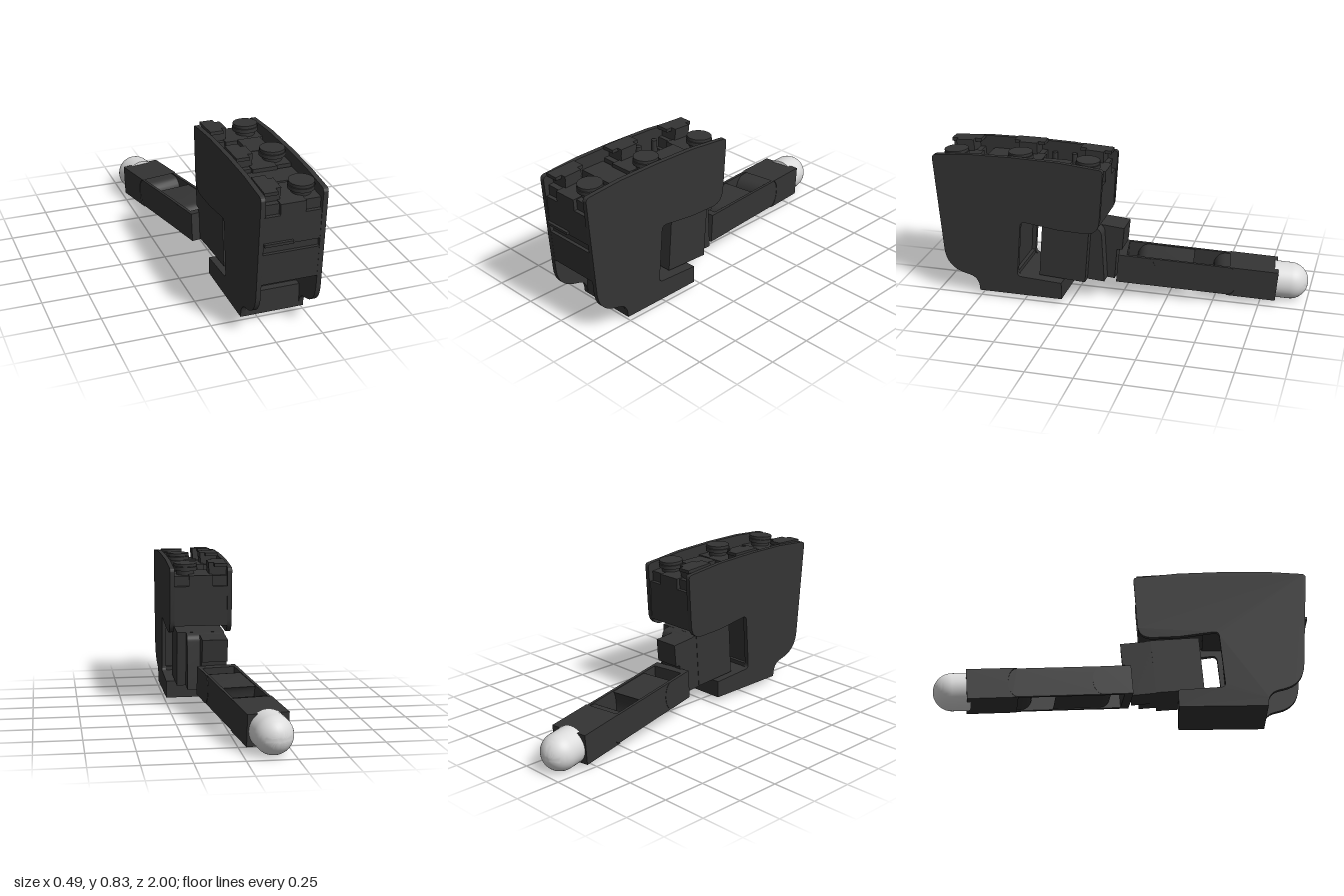
import * as THREE from 'three';
import { toCreasedNormals } from 'three/addons/utils/BufferGeometryUtils.js';

const dark = new THREE.MeshStandardMaterial({ color: 0x343434 });
dark.name = 'dark plastic';
const pale = new THREE.MeshStandardMaterial({ color: 0xdcdcdc });
pale.name = 'pale rubber';

function add(parent, name, geometry, x = 0, y = 0, z = 0, material = dark) {
  const mesh = new THREE.Mesh(geometry, material);
  mesh.name = name;
  mesh.position.set(x, y, z);
  parent.add(mesh);
  return mesh;
}

// Box given by its limits on each axis
function box(parent, name, x0, x1, y0, y1, z0, z1) {
  return add(parent, name, new THREE.BoxGeometry(x1 - x0, y1 - y0, z1 - z0),
    (x0 + x1) / 2, (y0 + y1) / 2, (z0 + z1) / 2);
}

// Side outline of [z, y, cornerRadius] extruded from x0 to x1
function slab(parent, name, points, x0, x1) {
  const shape = new THREE.Shape();
  const n = points.length;
  points.forEach(([z, y, r = 0], i) => {
    const p = new THREE.Vector2(z, y);
    const toward = (q) => p.clone().add(new THREE.Vector2(q[0], q[1]).sub(p).setLength(r));
    const a = toward(points[(i + n - 1) % n]);
    const b = toward(points[(i + 1) % n]);
    if (i === 0) shape.moveTo(a.x, a.y);
    else shape.lineTo(a.x, a.y);
    if (r > 0) shape.quadraticCurveTo(z, y, b.x, b.y);
  });
  shape.closePath();
  const geometry = new THREE.ExtrudeGeometry(shape, { depth: x1 - x0, bevelEnabled: false, curveSegments: 8 });
  geometry.rotateY(-Math.PI / 2);
  return add(parent, name, toCreasedNormals(geometry, 0.5), x1);
}

// Outline of a finger link, with bulging (or hollow, if negative) ends
function linkOutline(z0, z1, h, bulge0, bulge1) {
  const points = [];
  const arc = (z, bulge, side) => {
    const steps = bulge ? 10 : 1;
    for (let i = 0; i <= steps; i++) {
      const t = -Math.PI / 2 + Math.PI * i / steps;
      points.push([z + side * bulge * (Math.cos(t) - 1), side * h * Math.sin(t)]);
    }
  };
  arc(z0, bulge0, 1);
  arc(z1, bulge1, -1);
  return points;
}

// Upright motor with a disc horn and a connector cap on top
function motor(parent, z, y, length, tilt) {
  const g = new THREE.Group();
  g.name = 'motor';
  g.position.set(0, y, z);
  g.rotation.x = tilt;
  parent.add(g);
  const h = length / 2;
  box(g, 'motorBody', -0.07, 0.222, -0.22, -0.06, -h, h);
  box(g, 'motorNeck', 0.01, 0.14, -0.06, 0, -h, h);
  box(g, 'motorShoulder', -0.07, 0.222, -0.06, -0.005, -h + 0.02, h - 0.02);
  box(g, 'motorFoot', -0.07, 0.222, -0.28, -0.22, -h, h - 0.02);
  box(g, 'motorLip', -0.07, 0.08, -0.215, -0.2, h, h + 0.015);
  add(g, 'hornNeck', new THREE.CylinderGeometry(0.05, 0.05, 0.04, 32), 0.152, 0.01, 0);
  add(g, 'hornDisc', new THREE.CylinderGeometry(0.067, 0.067, 0.02, 32), 0.152, 0.03, 0);
  add(g, 'hornCap', new THREE.CylinderGeometry(0.064, 0.064, 0.016, 32), 0.152, 0.05, 0);
  box(g, 'connectorBase', -0.07, 0.025, -0.005, 0.045, -0.05, 0.05);
  box(g, 'connectorCap', -0.07, 0.0, 0.045, 0.063, -0.085, 0.085);
  box(g, 'connectorTongue', 0.0, 0.028, 0.03, 0.063, -0.05, 0.05);
}

function buildHousing(root) {
  const g = new THREE.Group();
  g.name = 'housing';
  root.add(g);

  // C-shaped side plates
  const outline = [
    [1.0, 0.805, 0.025], [0.78, 0.823], [0.55, 0.826], [0.3, 0.82], [0.053, 0.797, 0.02],
    [0.08, 0.43, 0.08], [0.3, 0.437], [0.513, 0.465, 0.03], [0.54, 0.14, 0.025],
    [0.29, 0.125], [0.29, 0.03], [0.76, 0.03], [0.765, 0.105, 0.055], [0.95, 0.15, 0.11],
  ];
  slab(g, 'leftPlate', outline, 0.222, 0.247);
  slab(g, 'rightPlate', outline, -0.095, -0.07);

  // Foot, inner frame and front cross panel between the plates
  slab(g, 'foot', [[0.29, 0.03], [0.76, 0.03], [0.76, 0.162], [0.54, 0.162], [0.54, 0.14], [0.29, 0.125]], -0.07, 0.222);
  slab(g, 'innerFrame', [[0.56, 0.16], [0.72, 0.16], [0.745, 0.25, 0.04], [0.755, 0.5], [0.54, 0.5]], -0.07, 0.222);
  slab(g, 'frontPanel', [[0.79, 0.32], [0.962, 0.32], [0.975, 0.49], [0.79, 0.49]], -0.07, 0.222);

  // Row of upright motors along the curved top
  motor(g, 0.89, 0.76, 0.2, 0.05);
  motor(g, 0.53, 0.775, 0.2, 0);
  motor(g, 0.16, 0.76, 0.19, -0.05);
  box(g, 'frontSpacer', -0.07, 0.222, 0.5, 0.755, 0.62, 0.757);

  // Motor lying between the rear two
  box(g, 'crossMotor', 0.07, 0.19, 0.5, 0.775, 0.265, 0.425);
  box(g, 'crossMotorBase', -0.07, 0.222, 0.5, 0.7, 0.25, 0.43);
  for (const z of [0.29, 0.4]) {
    add(g, 'screw', new THREE.CylinderGeometry(0.015, 0.015, 0.1, 16), -0.045, 0.72, z);
  }
}

function buildKnuckle(root) {
  // Tilted drive block in the mouth of the housing
  const g = new THREE.Group();
  g.name = 'knuckle';
  root.add(g);
  slab(g, 'driveBlock', [[0.405, 0.443], [0.145, 0.43], [0.17, 0.125], [0.428, 0.14]], -0.062, 0.2);
  slab(g, 'driveCurve', [[0.15, 0.43], [0.09, 0.425, 0.04], [0.075, 0.118], [0.18, 0.125]], -0.06, 0.15);
  slab(g, 'driveHead', [[0.15, 0.427], [-0.02, 0.412], [-0.008, 0.288], [0.022, 0.285], [0.035, 0.11], [0.17, 0.122]], -0.06, 0.08);
}

function buildFinger(root) {
  const g = new THREE.Group();
  g.name = 'finger';
  g.position.set(-0.003, 0.183, 0.01);
  g.rotation.set(-0.085, 0.157, 0, 'YXZ');
  root.add(g);
  const h = 0.08;

  // Paired side plates of the first two links
  for (const s of [-1, 1]) {
    const pair = (name, outline, inner, outer) =>
      slab(g, name, outline, s > 0 ? inner : -outer, s > 0 ? outer : -inner);
    pair('baseLinkPlate', linkOutline(0.02, -0.19, h, 0, 0.05), 0.09, 0.108);
    pair('middleLinkPlate', linkOutline(-0.19, -0.635, h, -0.05, 0.05), 0.09, 0.106);
  }
  box(g, 'baseLinkWall', -0.108, 0.108, -h, h, -0.025, 0.02);

  // Rounded inner blocks
  slab(g, 'middleLinkBlock', linkOutline(-0.075, -0.37, h - 0.004, 0.06, -0.02), -0.09, 0.09);
  slab(g, 'endLinkTongue', linkOutline(-0.5, -0.68, h - 0.004, 0.06, 0), -0.088, 0.088);
  slab(g, 'endLinkBlock', linkOutline(-0.635, -0.85, h + 0.003, -0.05, 0), -0.108, 0.108);

  // Domed fingertip
  const profile = [new THREE.Vector2(0, 0.83), new THREE.Vector2(0.1, 0.83)];
  for (let i = 0; i <= 16; i++) {
    const t = (Math.PI / 2) * i / 16;
    profile.push(new THREE.Vector2(i === 16 ? 0 : 0.1 * Math.cos(t), 0.924 + 0.1 * Math.sin(t)));
  }
  const tip = toCreasedNormals(new THREE.LatheGeometry(profile, 40), 0.6);
  tip.rotateX(-Math.PI / 2);
  add(g, 'fingertip', tip, 0, 0, 0, pale);
}

export function createModel() {
  const root = new THREE.Group();
  root.name = 'roboticFinger';
  buildHousing(root);
  buildKnuckle(root);
  buildFinger(root);
  return root;
}
